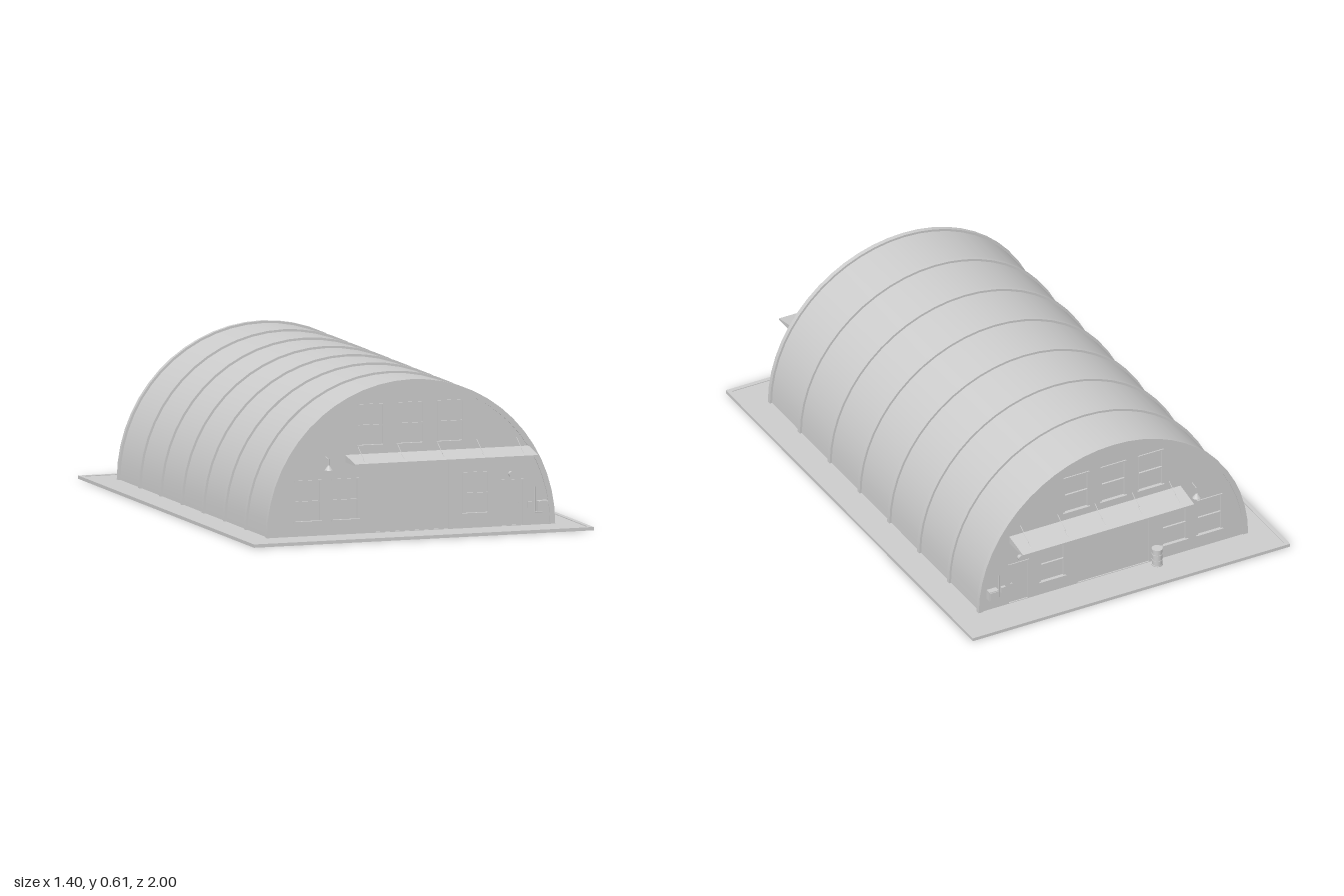
import * as THREE from 'three';
import { toCreasedNormals } from 'three/addons/utils/BufferGeometryUtils.js';

const GROUND = 0.012;   // top of the slab
const END = 0.85;       // half length of the hall
const RADIUS = 0.591;

export function createModel() {
  const grey = new THREE.MeshStandardMaterial({ color: 0xcccccc });
  grey.name = 'paleGrey';
  const root = new THREE.Group();
  root.name = 'archedHall';

  const add = (parent, name, geometry, x = 0, y = 0, z = 0) => {
    const mesh = new THREE.Mesh(geometry, grey);
    mesh.name = name;
    mesh.position.set(x, y, z);
    parent.add(mesh);
    return mesh;
  };
  const box = (parent, name, w, h, d, x, y, z) =>
    add(parent, name, new THREE.BoxGeometry(w, h, d), x, y, z);
  const rod = (parent, name, a, b, r) => {
    const path = new THREE.LineCurve3(new THREE.Vector3(...a), new THREE.Vector3(...b));
    return add(parent, name, new THREE.TubeGeometry(path, 1, r, 6));
  };
  const rect = (w, h, cx = 0, cy = 0, Type = THREE.Shape) => new Type([
    new THREE.Vector2(cx - w / 2, cy - h / 2), new THREE.Vector2(cx + w / 2, cy - h / 2),
    new THREE.Vector2(cx + w / 2, cy + h / 2), new THREE.Vector2(cx - w / 2, cy + h / 2)]);
  const extrude = (shape, depth) => new THREE.ExtrudeGeometry(shape, { depth, bevelEnabled: false });
  const arc = (r, n = 28) => Array.from({ length: n + 1 }, (_, i) => new THREE.Vector2(
    r * Math.cos(Math.PI * i / n), GROUND + r * Math.sin(Math.PI * i / n)));
  const arch = (outer, inner, depth) => toCreasedNormals(
    extrude(new THREE.Shape([...arc(outer), ...arc(inner).reverse()]), depth), 0.5);

  // Slab: a ring under the walls, open below the hall, with a slim raised rim
  const ring = (w, l, iw, il, h) => {
    const shape = rect(w, l);
    shape.holes.push(rect(iw, il, 0, 0, THREE.Path));
    return extrude(shape, h).rotateX(-Math.PI / 2);
  };
  add(root, 'slab', ring(1.4, 2, 1.16, 1.68, 0.01));
  add(root, 'slabRim', ring(1.4, 2, 1.365, 1.965, 0.013));

  // Vaulted roof and its ribs
  add(root, 'roofShell', arch(RADIUS - 0.006, RADIUS - 0.011, 2 * END - 0.01), 0, 0, -END + 0.005);
  for (let i = 0; i < 8; i++) {
    const z = -0.845 + i * 1.69 / 7;
    add(root, 'roofRib', arch(RADIUS + 0.003, RADIUS - 0.018, 0.018), 0, 0, z - 0.009);
  }

  // Window centres [x, y]
  const windows = [[-0.165, 0.435], [0, 0.435], [0.163, 0.435],
    [-0.425, 0.148], [-0.27, 0.148], [0.268, 0.148]];
  const W = 0.108, H = 0.16;

  // Both end walls share one layout; s is the side along z
  const buildEnd = (s, name, awningX) => {
    const end = new THREE.Group();
    end.name = name;
    root.add(end);
    const Z = s * END;
    const out = d => s * (END + d);

    // Wall with openings for windows and doors
    const wall = new THREE.Shape(arc(RADIUS));
    windows.forEach(([x, y]) => wall.holes.push(rect(W, H, x, y, THREE.Path)));
    wall.holes.push(rect(0.315, 0.275, -0.002, 0.152, THREE.Path));
    wall.holes.push(rect(0.085, 0.175, 0.417, 0.102, THREE.Path));
    add(end, 'endWall', extrude(wall, 0.012), 0, 0, s > 0 ? END - 0.012 : -END);

    // Sash windows
    windows.forEach(([x, y]) => {
      box(end, 'windowPane', W, H, 0.004, x, y, out(-0.009));
      box(end, 'windowSill', W + 0.008, 0.005, 0.03, x, y - H / 2, out(-0.007));
      box(end, 'windowHead', W + 0.004, 0.005, 0.024, x, y + H / 2, out(-0.007));
      box(end, 'sashBar', W, 0.005, 0.014, x, y - 0.002, out(-0.006));
      for (const k of [-1, 1])
        box(end, 'windowJamb', 0.004, H, 0.014, x + k * (W / 2 - 0.002), y, out(-0.006));
    });

    // Doors
    box(end, 'mainDoor', 0.315, 0.28, 0.005, -0.002, 0.151, out(-0.008));
    box(end, 'sideDoor', 0.085, 0.18, 0.005, 0.417, 0.101, out(-0.008));
    box(end, 'sideDoorLintel', 0.091, 0.005, 0.008, 0.417, 0.191, out(0));
    box(end, 'doorHandle', 0.008, 0.004, 0.006, 0.448, 0.1, out(-0.003));

    // Awning with a sloping top, hung on rods
    const profile = new THREE.Shape([[0, 0.293], [0.112, 0.293], [0.112, 0.3], [0, 0.322]]
      .map(([d, y]) => new THREE.Vector2(out(d), y)));
    add(end, 'awning', extrude(profile, 0.755).rotateY(-Math.PI / 2), awningX + 0.3775);
    for (let i = 0; i < 5; i++) {
      const x = awningX + (i - 2) * 0.164;
      rod(end, 'awningRod', [x, 0.304, out(0.085)], [x, 0.357, Z], 0.0015);
    }

    // Hanging lamp on a bracket
    rod(end, 'lampArm', [-0.35, 0.318, Z], [-0.35, 0.312, out(0.035)], 0.002);
    rod(end, 'lampStem', [-0.35, 0.314, out(0.035)], [-0.35, 0.285, out(0.035)], 0.002);
    add(end, 'lampShade', new THREE.CylinderGeometry(0.004, 0.017, 0.018, 16),
      -0.35, 0.28, out(0.035));

    // Round light above the side door
    add(end, 'doorLight', new THREE.CylinderGeometry(0.011, 0.011, 0.015, 16)
      .rotateX(Math.PI / 2), 0.412, 0.215, out(0.007));

    // Meter boxes and conduit
    box(end, 'meterBox', 0.042, 0.042, 0.025, 0.537, 0.086, out(0.012));
    box(end, 'meterBoxLid', 0.036, 0.036, 0.004, 0.537, 0.086, out(0.026));
    box(end, 'switchBox', 0.02, 0.024, 0.012, 0.488, 0.092, out(0.006));
    rod(end, 'conduit', [0.508, 0.062, out(0.006)], [0.508, 0.162, out(0.006)], 0.003);
    rod(end, 'conduitElbow', [0.508, 0.062, out(0.006)], [0.54, 0.06, out(0.006)], 0.003);
  };
  buildEnd(1, 'frontEnd', 0.108);
  buildEnd(-1, 'backEnd', 0.08);

  // Drum beside the back door
  const drum = new THREE.Group();
  drum.name = 'drum';
  drum.position.set(-0.18, 0.01, -0.878);
  root.add(drum);
  add(drum, 'drumBody', new THREE.CylinderGeometry(0.02, 0.02, 0.075, 16), 0, 0.0375, 0);
  for (const y of [0.003, 0.025, 0.05, 0.074])
    add(drum, 'drumHoop', new THREE.CylinderGeometry(0.022, 0.022, 0.004, 16), 0, y, 0);

  return root;
}
